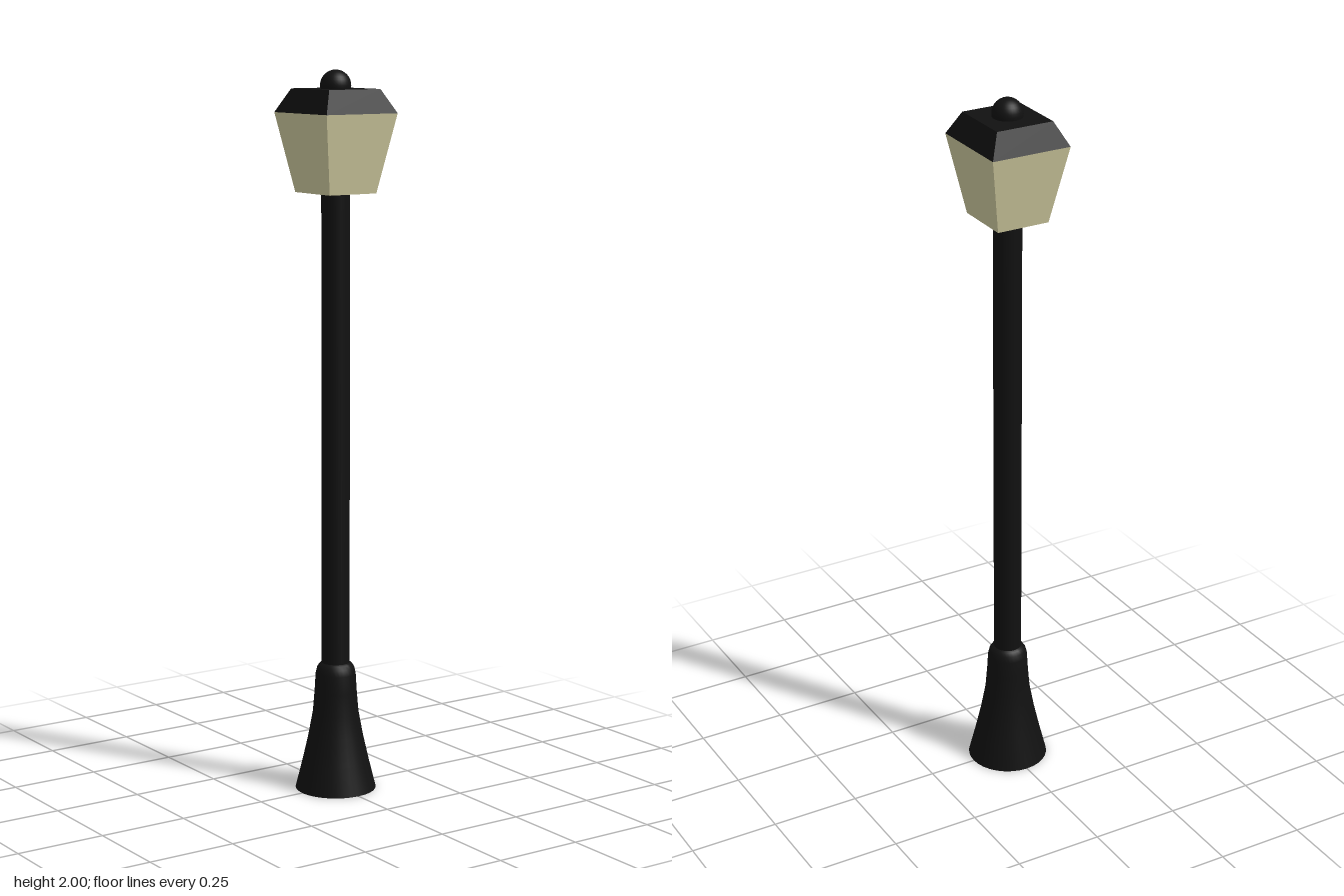
import * as THREE from 'three';
import { toCreasedNormals } from 'three/addons/utils/BufferGeometryUtils.js';

const iron = new THREE.MeshStandardMaterial({ color: 0x111111 });
const glass = new THREE.MeshStandardMaterial({ color: 0xd0cba0 });

function add(group, name, geometry, material, y = 0) {
  const mesh = new THREE.Mesh(geometry, material);
  mesh.name = name;
  mesh.position.y = y;
  group.add(mesh);
}

// Box whose bottom and top faces have different half sizes [x, z]
function taperedBox(bottom, top, height) {
  const geometry = new THREE.BoxGeometry(2, height, 2);
  const p = geometry.attributes.position;
  for (let i = 0; i < p.count; i++) {
    const [hx, hz] = p.getY(i) > 0 ? top : bottom;
    p.setXYZ(i, p.getX(i) * hx, p.getY(i) + height / 2, p.getZ(i) * hz);
  }
  geometry.computeVertexNormals();
  return geometry;
}

export function createModel() {
  const group = new THREE.Group();
  group.name = 'streetLamp';

  // Flared foot with a rounded collar, closed underneath
  const profile = [
    [0, 0], [0.113, 0], [0.093, 0.08], [0.077, 0.15], [0.064, 0.22],
    [0.059, 0.28], [0.056, 0.33], [0.052, 0.348], [0.045, 0.358], [0.038, 0.362],
  ].map(([r, y]) => new THREE.Vector2(r, y));
  add(group, 'base', toCreasedNormals(new THREE.LatheGeometry(profile, 32), 0.9), iron);

  // Straight pole up to the lantern
  add(group, 'pole', new THREE.CylinderGeometry(0.039, 0.039, 1.35, 32), iron, 1.0);

  // Lantern widening upwards, roof narrowing above it
  add(group, 'lantern', taperedBox([0.076, 0.083], [0.115, 0.126], 0.215), glass, 1.67);
  add(group, 'roof', taperedBox([0.115, 0.126], [0.083, 0.091], 0.064), iron, 1.885);

  // Ball finial
  add(group, 'finial', new THREE.SphereGeometry(0.042, 32, 16), iron, 1.958);

  return group;
}
